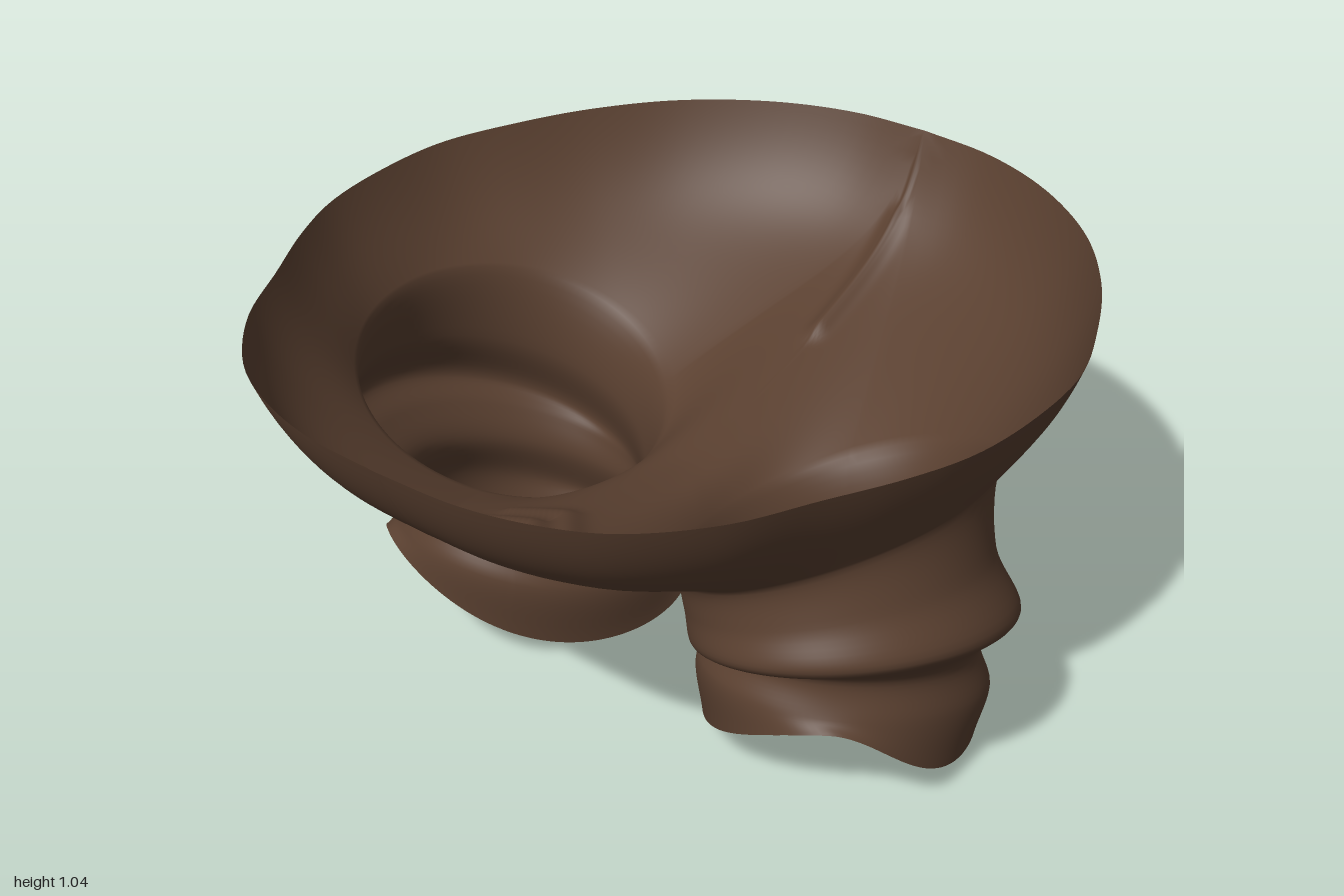
import * as THREE from 'three';
import { mergeVertices } from 'three/addons/utils/BufferGeometryUtils.js';

const OUTER = 84, SEAM = 90, COLS = OUTER + SEAM; // columns round one half
const HIP_ROWS = 35, STEP = 7;                    // rows in the hips, rows per leg span
const { lerp, clamp, smoothstep, degToRad } = THREE.MathUtils;

const V = (x, y, z) => new THREE.Vector3(x, y, z);
const spline = pts => new THREE.CatmullRomCurve3(pts);

// Half waistband in plan, from front centre round the left side to back centre
const waist = spline([
  [0, .995], [.2, .985], [.36, .945], [.51, .87], [.66, .715], [.76, .53], [.85, .36], [.91, .2],
  [.933, 0], [.92, -.2], [.85, -.39], [.75, -.58], [.6, -.765], [.4, -.908], [.2, -.982], [0, -1],
].map(([x, z]) => V(x, 0, z)));

// Waist radius against angle from the front
const outline = waist.getPoints(400).map(p => [Math.atan2(p.x, p.z), Math.hypot(p.x, p.z)]);
function waistRadius(x, z) {
  const a = Math.atan2(Math.max(x, 0), z);
  const i = Math.max(1, outline.findIndex(o => o[0] >= a));
  const [a0, r0] = outline[i - 1], [a1, r1] = outline[i];
  return lerp(r0, r1, clamp((a - a0) / (a1 - a0), 0, 1));
}

// Height of the hip bowl
function bowlY(x, z) {
  const s = Math.min(1, Math.hypot(x, z) / waistRadius(x, z));
  return .555 + .29 * s ** 1.6 + .2 * s ** 12;
}

// Tilted leg rings from thigh to cuff: centre x, radius x, centre z, radius z, y, outward tilt, forward tilt
const rings = [
  [.475, .335, .05, .42, .64, .15, .02],
  [.51, .33, .075, .39, .50, .12, .07],
  [.55, .355, .065, .42, .39, .10, .11],
  [.515, .335, .04, .385, .335, .08, .105],
  [.49, .30, 0, .335, .265, .05, .11],
  [.48, .335, -.005, .37, .175, .03, .125],
];
const ringPoint = ([cx, rx, cz, rz, y, tx, tz], a) =>
  V(cx + rx * Math.cos(a), y + tx * Math.cos(a) + tz * Math.sin(a), cz + rz * Math.sin(a));

// Skewed hem that arches up at the front
function hemPoint(a) {
  const off = Math.atan2(Math.sin(a - 1.1), Math.cos(a - 1.1));
  const p = ringPoint([.47, .335, -.01, .385, .03, .01, 0], a);
  p.x += .05 * Math.sin(a);
  p.y += .24 * Math.exp(-((off / (off < 0 ? .68 : 1.1)) ** 2));
  return p;
}

// Vertical line of the cloth at column j: straight in plan across the bowl, then down the leg
function column(j) {
  const onSeam = j > OUTER, corner = 125;
  const f = onSeam ? (j - OUTER) / SEAM : j / OUTER;
  const a = degToRad(onSeam ? -corner - 110 * f : corner - 250 * f);
  const top = onSeam ? V(0, 0, lerp(-1, .995, f)) : waist.getPointAt(f);
  const thigh = ringPoint(rings[0], a);
  const drop = thigh.y - bowlY(thigh.x, thigh.z);
  const hip = t => {
    const p = top.clone().lerp(thigh, t);
    return p.setY(bowlY(p.x, p.z) + drop * t ** 3);
  };
  const leg = spline([hip(.75), ...rings.map(r => ringPoint(r, a)), hemPoint(a)]);
  return i => i <= HIP_ROWS
    ? hip((i / HIP_ROWS) ** 1.2)
    : leg.getPoint((STEP + i - HIP_ROWS) / (STEP * (rings.length + 1)));
}

// Soft crease strength near a segment in plan
function crease(x, z, x0, z0, x1, z1, width) {
  const dx = x1 - x0, dz = z1 - z0;
  const t = clamp(((x - x0) * dx + (z - z0) * dz) / (dx * dx + dz * dz), 0, 1);
  const d = Math.hypot(x - x0 - t * dx, z - z0 - t * dz) / width;
  return Math.exp(-d * d);
}

export function createModel() {
  const cloth = new THREE.MeshStandardMaterial({ color: 0x5a4030, side: THREE.DoubleSide });
  cloth.name = 'brownCloth';

  const rows = HIP_ROWS + rings.length * STEP;
  const columns = Array.from({ length: COLS }, (_, j) => column(j));
  const positions = [], faces = { hips: [], leftLeg: [], rightLeg: [] };

  for (const side of [1, -1]) {
    const base = positions.length / 3;
    for (let i = 0; i <= rows; i++) {
      for (let j = 0; j < COLS; j++) {
        const p = columns[j](i);
        const down = clamp((i - HIP_ROWS) / (rows - HIP_ROWS), 0, 1);
        // The right leg is slimmer at the knee and its hem hangs lower
        if (side < 0) {
          p.x -= .022 * Math.sin(Math.PI * down) * smoothstep(p.x, .45, .85);
          p.y -= .022 * smoothstep(down, .4, 1);
        }
        // Front wrinkles and back crease
        if (i < HIP_ROWS) {
          p.y += .02 * crease(p.x, p.z, 0, .53, .19, .74, .03)
            + .016 * crease(p.x, p.z, 0, .42, .08, .51, .03)
            + .02 * crease(p.x, p.z, 0, -.88, 0, -.55, .025);
        }
        positions.push(side * p.x, p.y, p.z);
      }
    }
    for (let i = 0; i < rows; i++) {
      const part = i < HIP_ROWS ? faces.hips : side > 0 ? faces.leftLeg : faces.rightLeg;
      for (let j = 0; j < COLS; j++) {
        const a = base + i * COLS + j, b = base + i * COLS + (j + 1) % COLS;
        const c = a + COLS, d = b + COLS;
        part.push(...(side > 0 ? [a, c, b, b, c, d] : [a, b, c, b, d, c]));
      }
    }
  }

  // One welded cloth keeps the shading smooth across the parts
  let whole = new THREE.BufferGeometry();
  whole.setAttribute('position', new THREE.Float32BufferAttribute(positions, 3));
  whole.setIndex(Object.values(faces).flat());
  whole = mergeVertices(whole, 1e-4);
  whole.computeVertexNormals();

  const group = new THREE.Group();
  group.name = 'trousers';
  const index = Array.from(whole.index.array);
  let start = 0;
  for (const [name, list] of Object.entries(faces)) {
    const geometry = new THREE.BufferGeometry();
    geometry.setAttribute('position', whole.attributes.position);
    geometry.setAttribute('normal', whole.attributes.normal);
    geometry.setIndex(index.slice(start, start + list.length));
    start += list.length;
    const mesh = new THREE.Mesh(geometry, cloth);
    mesh.name = name;
    group.add(mesh);
  }
  return group;
}
